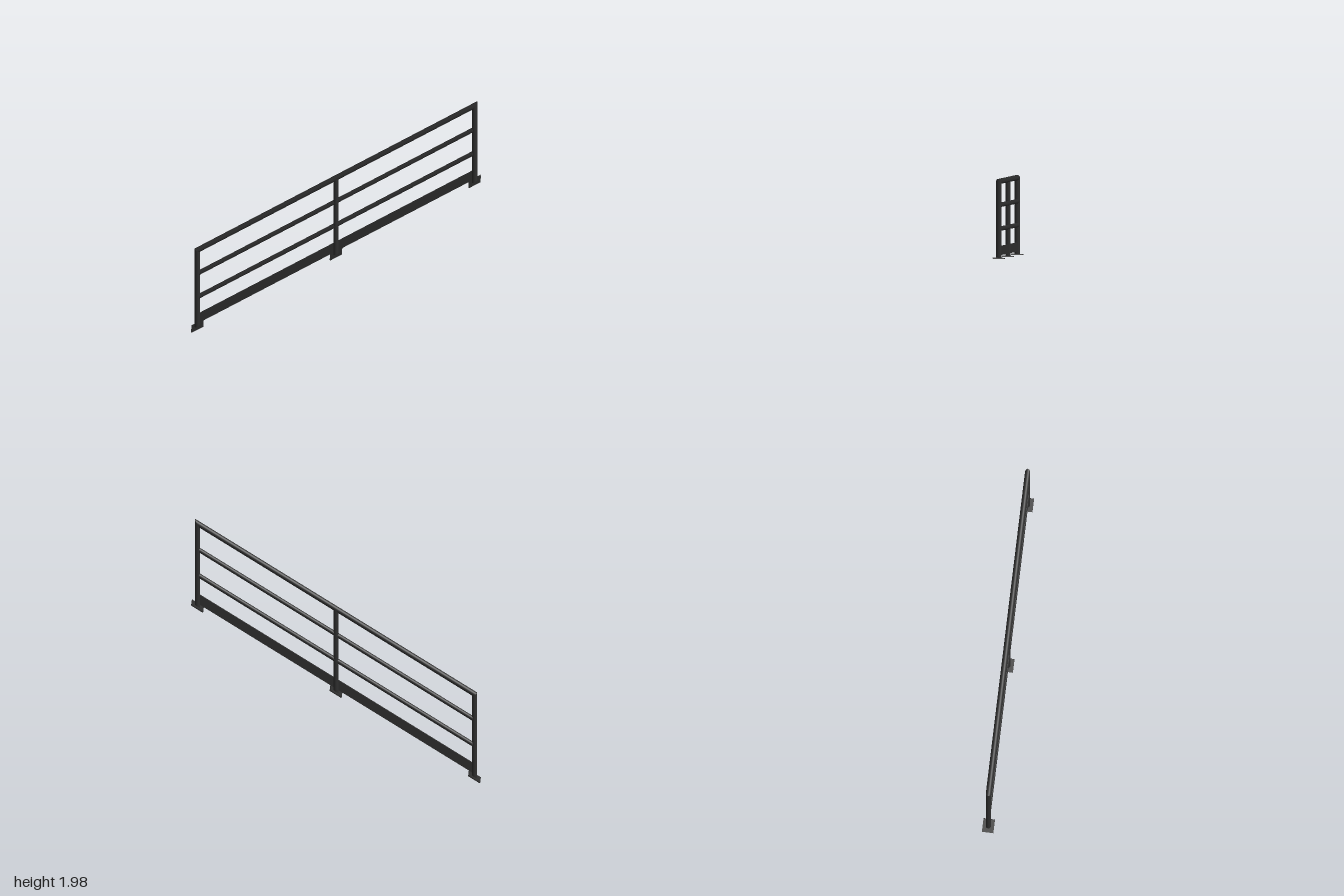
import * as THREE from 'three';

const PITCH = Math.atan(0.663);
const SLOPE = Math.tan(PITCH), COS = Math.cos(PITCH), SIN = Math.sin(PITCH);
const POST_X = 0.958;      // distance of the end posts from the middle
const R = 0.0185;          // radius of posts and handrail
const RAIL_Y = 1.31;       // handrail height at x = 0
const PLATE_Y = 0.668;     // foot plate height at x = 0

// Tube along y whose two ends are cut by rules (u = offset across the tube)
function cutTube(radius, bottomAt, topAt) {
  const geo = new THREE.CylinderGeometry(radius, radius, 1, 24, 1, true);
  const pos = geo.attributes.position;
  for (let i = 0; i < pos.count; i++) {
    const u = pos.getX(i);
    pos.setY(i, pos.getY(i) > 0 ? topAt(u) : bottomAt(u));
  }
  return geo;
}

// Tube laid along the pitch; endX(u) gives the half-length of its cut in x
function slopedTube(radius, endX) {
  const geo = cutTube(
    radius,
    (u) => (-endX(u) - u * SIN) / COS,
    (u) => (endX(u) - u * SIN) / COS
  );
  return geo.rotateZ(PITCH - Math.PI / 2);
}

export function createModel() {
  const group = new THREE.Group();
  const steel = new THREE.MeshStandardMaterial({ color: 0x2e2e2e });
  steel.name = 'dark steel';

  const add = (name, geo, x, y) => {
    const mesh = new THREE.Mesh(geo, steel);
    mesh.name = name;
    mesh.position.set(x, y, 0);
    group.add(mesh);
    return mesh;
  };

  // Handrail, mitred into the end posts
  add('handrail', slopedTube(R, (u) => POST_X - u), 0, RAIL_Y);

  // Intermediate rails, ending inside the posts
  for (const y of [1.112, 0.913]) {
    add('middleRail', slopedTube(0.0155, () => POST_X - 0.008), 0, y);
  }

  // Posts on tilted foot plates
  const names = ['rightPost', 'centerPost', 'leftPost'];
  [-1, 0, 1].forEach((side, i) => {
    const x = side * POST_X;
    const geo = cutTube(
      R,
      (u) => PLATE_Y + SLOPE * (x + u),
      (u) => RAIL_Y + SLOPE * (x + u) + (side * u) / COS
    );
    add(names[i], geo, x, 0);

    const plate = new THREE.BoxGeometry(0.08 / COS, 0.008, 0.08);
    add('footPlate', plate, x, PLATE_Y + SLOPE * x).rotation.z = PITCH;
  });

  // Toe boards between the posts, with upright ends
  for (const side of [-1, 1]) {
    const half = POST_X / 2 - 0.008;
    const geo = new THREE.BoxGeometry(half * 2, 0.075, 0.012);
    geo.applyMatrix4(new THREE.Matrix4().makeShear(SLOPE, 0, 0, 0, 0, 0));
    add('toeBoard', geo, side * POST_X / 2, 0.73 + SLOPE * side * POST_X / 2);
  }

  return group;
}
